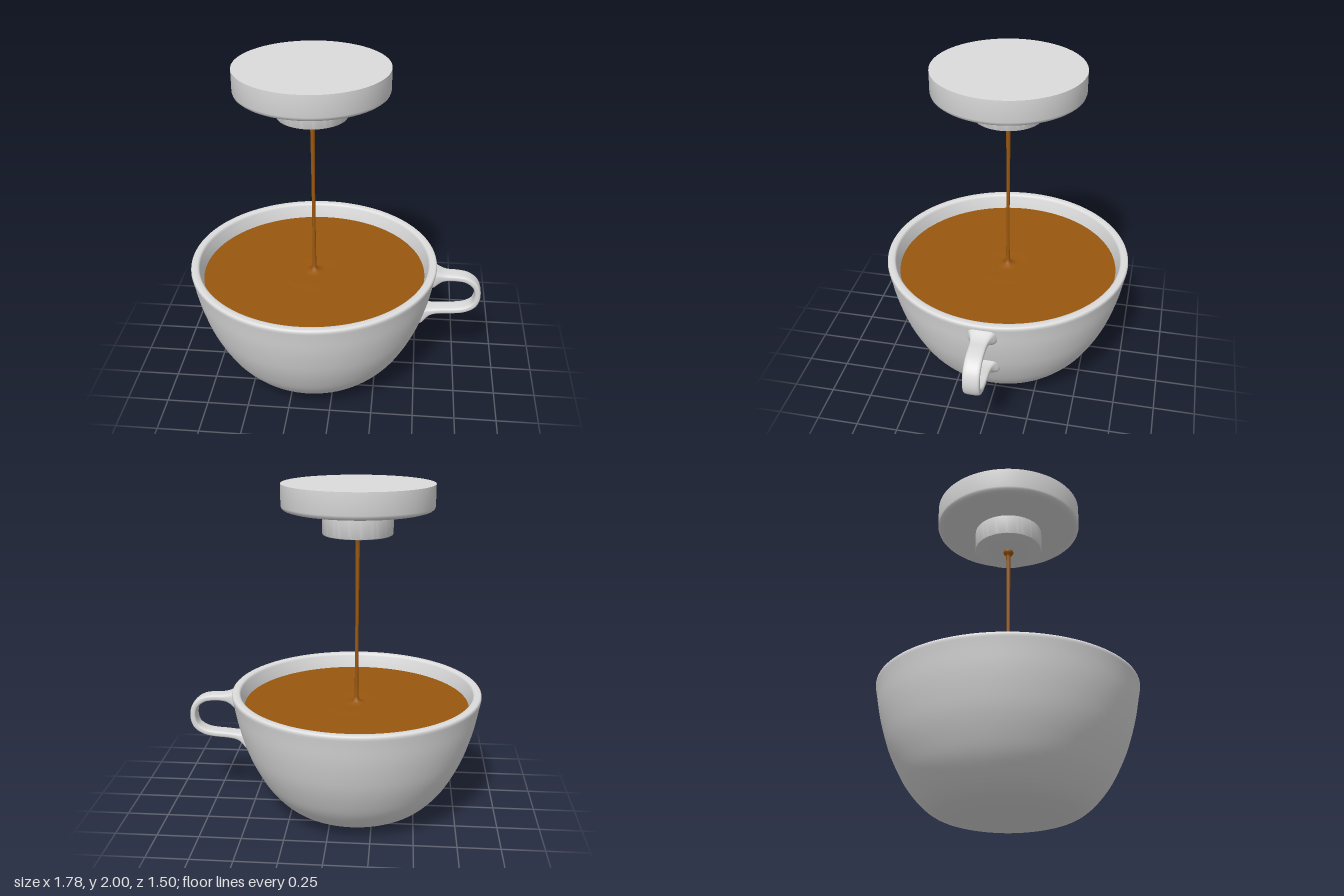
import * as THREE from 'three';
import { toCreasedNormals } from 'three/addons/utils/BufferGeometryUtils.js';

const AXIS_X = -0.14; // shared axis of cup, stream and spout

const ceramic = new THREE.MeshStandardMaterial({ color: 0xdcdcdc });
ceramic.name = 'pale grey ceramic';
const coffee = new THREE.MeshStandardMaterial({ color: 0x99570f });
coffee.name = 'coffee brown';

const vec = (pairs) => pairs.map(([x, y]) => new THREE.Vector2(x, y));
const smooth = (pairs, n) => new THREE.SplineCurve(vec(pairs)).getPoints(n);

function addMesh(group, name, geometry, material, x = 0) {
  const mesh = new THREE.Mesh(geometry, material);
  mesh.name = name;
  mesh.position.x = x;
  group.add(mesh);
}

// Sweeps a rounded-rectangle section along a path in the xy plane, flaring at both ends
function handleGeometry() {
  const path = new THREE.CatmullRomCurve3([
    [0.572, 0.69], [0.62, 0.695], [0.68, 0.696], [0.74, 0.695], [0.8, 0.682],
    [0.85, 0.64], [0.867, 0.575], [0.85, 0.51], [0.8, 0.473], [0.74, 0.459],
    [0.66, 0.453], [0.58, 0.442], [0.5, 0.42],
  ].map(([x, y]) => new THREE.Vector3(x, y, 0)));
  const rings = 72, sides = 28;
  const length = path.getLength();
  const positions = [], indices = [];
  const roundPower = (v) => Math.sign(v) * Math.abs(v) ** 0.55;
  for (let i = 0; i <= rings; i++) {
    const t = i / rings;
    const p = path.getPointAt(t);
    const d = path.getTangentAt(t);
    const fromEnd = Math.min(t, 1 - t) * length;
    const flare = Math.exp(-((fromEnd / 0.06) ** 2));
    const thick = 0.02 + 0.042 * flare;
    const wide = 0.049 + 0.04 * flare;
    for (let j = 0; j < sides; j++) {
      const a = (j / sides) * Math.PI * 2;
      const u = roundPower(Math.cos(a)) * thick;
      positions.push(p.x - d.y * u, p.y + d.x * u, roundPower(Math.sin(a)) * wide);
      if (i < rings) {
        const k = i * sides + j, n = i * sides + ((j + 1) % sides);
        indices.push(k, n, k + sides, n, n + sides, k + sides);
      }
    }
  }
  const geometry = new THREE.BufferGeometry();
  geometry.setAttribute('position', new THREE.Float32BufferAttribute(positions, 3));
  geometry.setIndex(indices);
  geometry.computeVertexNormals();
  return geometry;
}

export function createModel() {
  const model = new THREE.Group();
  model.name = 'cupUnderSpout';

  // Cup wall: flat foot, rounded bowl, soft rim, inner wall
  const outside = smooth([
    [0.22, 0.002], [0.32, 0.022], [0.41, 0.052], [0.485, 0.11], [0.56, 0.2], [0.617, 0.3],
    [0.662, 0.4], [0.695, 0.5], [0.721, 0.6], [0.74, 0.7], [0.75, 0.75],
  ], 44);
  const rim = smooth([
    [0.75, 0.757], [0.747, 0.766], [0.738, 0.771], [0.715, 0.771], [0.702, 0.765], [0.696, 0.75],
  ], 14);
  const inside = smooth([
    [0.69, 0.73], [0.677, 0.68], [0.635, 0.5], [0.555, 0.3], [0.42, 0.13], [0.25, 0.07], [0, 0.06],
  ], 24);
  const foot = vec([[0, 0], [0.21, 0]]);
  addMesh(model, 'cup',
    new THREE.LatheGeometry([...foot, ...outside, ...rim, ...inside], 96), ceramic, AXIS_X);

  addMesh(model, 'handle', handleGeometry(), ceramic);

  // Coffee surface with faint ripples around the stream
  const surface = [];
  for (let i = 60; i >= 0; i--) {
    const r = (0.68 * i) / 60;
    surface.push(new THREE.Vector2(r, 0.68 + 0.003 * Math.cos(r * 38) * Math.exp(-r * 7)));
  }
  addMesh(model, 'coffeeSurface', new THREE.LatheGeometry(surface, 96), coffee, AXIS_X);

  // Falling stream, flared at both ends
  addMesh(model, 'coffeeStream', new THREE.LatheGeometry(vec([
    [0.06, 0.681], [0.035, 0.686], [0.02, 0.698], [0.013, 0.72], [0.011, 0.8], [0.01, 1.1],
    [0.0115, 1.4], [0.013, 1.62], [0.014, 1.668], [0.02, 1.68], [0.029, 1.69], [0.031, 1.7],
    [0.028, 1.71],
  ]), 16), coffee, AXIS_X);

  // Spout: narrow nozzle below a wide disc
  const spout = new THREE.LatheGeometry(vec([
    [0, 1.708], [0.196, 1.708], [0.202, 1.711], [0.205, 1.717], [0.205, 1.835],
    [0.32, 1.838], [0.405, 1.848], [0.425, 1.854], [0.436, 1.863], [0.44, 1.876],
    [0.44, 2], [0, 2],
  ]), 80);
  addMesh(model, 'spout', toCreasedNormals(spout, 0.6), ceramic, AXIS_X);

  return model;
}
